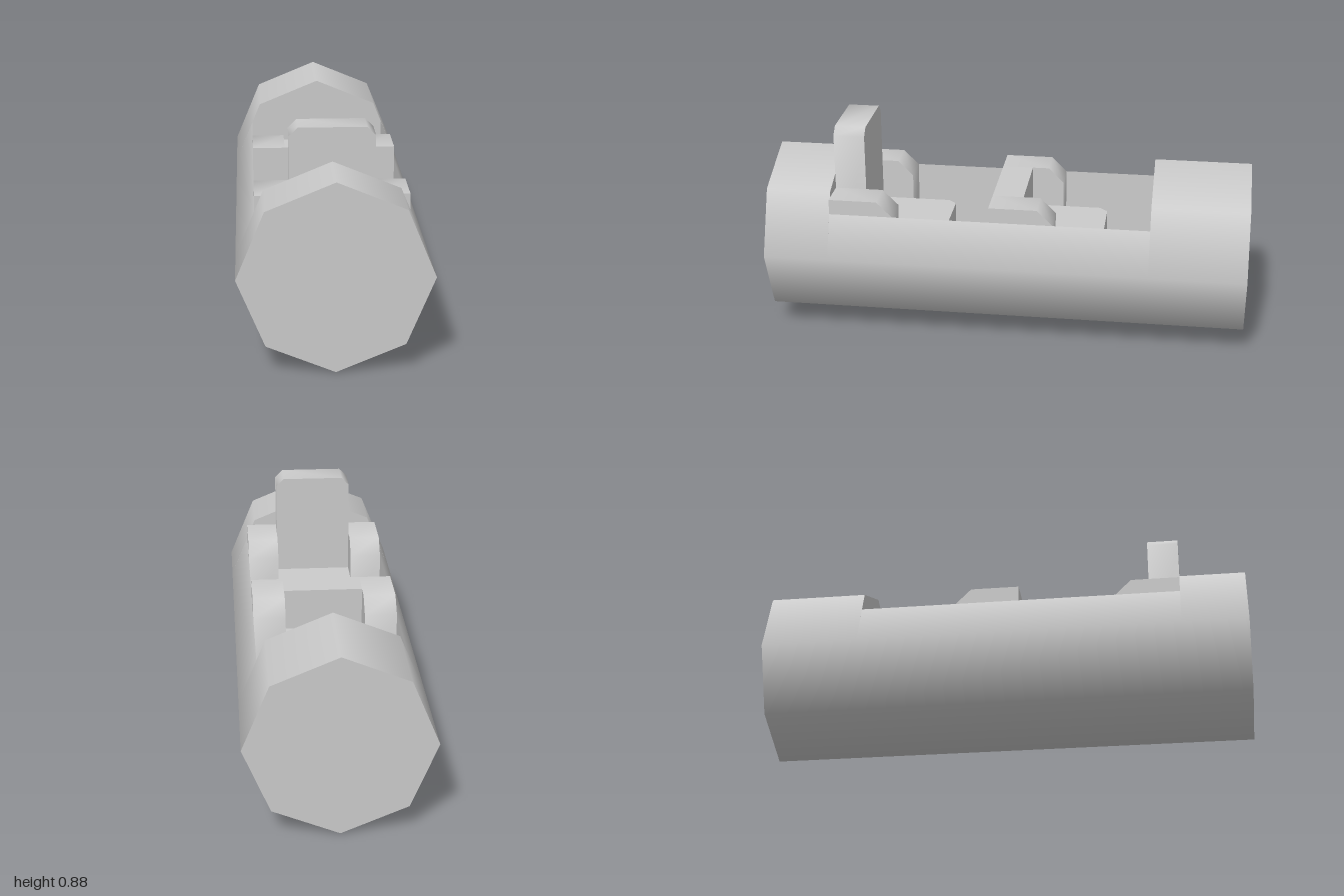
import * as THREE from 'three';
import { toCreasedNormals } from 'three/addons/utils/BufferGeometryUtils.js';

const R = 0.373;                       // log radius, eight sides
const FRONT = 0.73, BACK = -0.6;       // cockpit ends
const RIM = 0.55, FLOOR = 0.2, HALF = 0.299, SEAT = 0.165;
const SEAT_TOP = 0.44, ARM_TOP = 0.614;

const grey = new THREE.MeshStandardMaterial({ color: 0xcccccc });
const greyDouble = new THREE.MeshStandardMaterial({ color: 0xcccccc, side: THREE.DoubleSide });

function add(parent, name, geometry, material = grey) {
  const mesh = new THREE.Mesh(geometry, material);
  mesh.name = name;
  parent.add(mesh);
  return mesh;
}

function extrude(points, depth) {
  const shape = new THREE.Shape(points.map(([x, y]) => new THREE.Vector2(x, y)));
  const geometry = new THREE.ExtrudeGeometry(shape, { depth, bevelEnabled: false });
  return toCreasedNormals(geometry, 0.9);
}

// Upright panel with two clipped top corners
function tab(height, depth) {
  const c = 0.033;
  return extrude([
    [-SEAT, 0], [SEAT, 0], [SEAT, height - c],
    [SEAT - c, height], [c - SEAT, height], [-SEAT, height - c],
  ], depth);
}

// Solid end piece of the log
function logEnd(z0, z1) {
  return new THREE.CylinderGeometry(R, R, z1 - z0, 8)
    .rotateX(Math.PI / 2).translate(0, R, (z0 + z1) / 2);
}

// Open outer skin of the log beside and below the cockpit
function hullSkin() {
  const profile = [[-HALF, RIM]];
  for (let i = 0; i <= 4; i++) {
    const a = Math.PI + i * Math.PI / 4;
    profile.push([R * Math.cos(a), R + R * Math.sin(a)]);
  }
  profile.push([HALF, RIM]);
  const position = [], normal = [], index = [];
  profile.forEach(([x, y], i) => {
    const n = new THREE.Vector2(x, y - R).normalize();
    for (const z of [BACK, FRONT]) {
      position.push(x, y, z);
      normal.push(n.x, n.y, 0);
    }
    if (i > 0) {
      const a = 2 * i - 2;
      index.push(a, a + 2, a + 1, a + 1, a + 2, a + 3);
    }
  });
  const geometry = new THREE.BufferGeometry();
  geometry.setAttribute('position', new THREE.Float32BufferAttribute(position, 3));
  geometry.setAttribute('normal', new THREE.Float32BufferAttribute(normal, 3));
  geometry.setIndex(index);
  return geometry;
}

// Seat facing -z; its back stands at the front end of the cockpit
function createSeat(name, tallBack) {
  const seat = new THREE.Group();
  seat.name = name;

  add(seat, 'cushion', tab(0.33, SEAT_TOP - FLOOR).rotateX(-Math.PI / 2)).position.set(0, FLOOR, 0.6);

  const back = tallBack
    ? tab(0.88 - FLOOR, 0.13).translate(0, FLOOR, 0.6)
    : new THREE.BoxGeometry(2 * SEAT, ARM_TOP - FLOOR, 0.13).translate(0, (ARM_TOP + FLOOR) / 2, 0.665);
  add(seat, 'backrest', back);

  const width = HALF - SEAT;
  for (const side of [-1, 1]) {
    const arm = extrude([
      [0.465, FLOOR], [FRONT, FLOOR], [FRONT, ARM_TOP], [0.53, ARM_TOP], [0.465, RIM],
    ], width).rotateY(-Math.PI / 2).translate(width / 2, 0, 0);
    add(seat, side > 0 ? 'leftArmrest' : 'rightArmrest', arm).position.x = side * (SEAT + width / 2);
  }
  return seat;
}

export function createModel() {
  const model = new THREE.Group();
  model.name = 'logBoat';

  // Hollowed log
  add(model, 'frontLogEnd', logEnd(FRONT, 1));
  add(model, 'backLogEnd', logEnd(-1, BACK));
  add(model, 'hullSkin', hullSkin(), greyDouble);

  // Cockpit lining
  const length = FRONT - BACK, mid = (FRONT + BACK) / 2;
  add(model, 'cockpitFloor', new THREE.PlaneGeometry(2 * HALF, length).rotateX(-Math.PI / 2), greyDouble)
    .position.set(0, FLOOR, mid);
  for (const side of [-1, 1]) {
    add(model, side > 0 ? 'leftCockpitWall' : 'rightCockpitWall',
      new THREE.PlaneGeometry(length, RIM - FLOOR).rotateY(-side * Math.PI / 2), greyDouble)
      .position.set(side * HALF, (RIM + FLOOR) / 2, mid);
  }

  // Two seats in a row
  model.add(createSeat('frontSeat', true));
  const backSeat = createSeat('backSeat', false);
  backSeat.position.z = -0.667;
  model.add(backSeat);
  return model;
}
